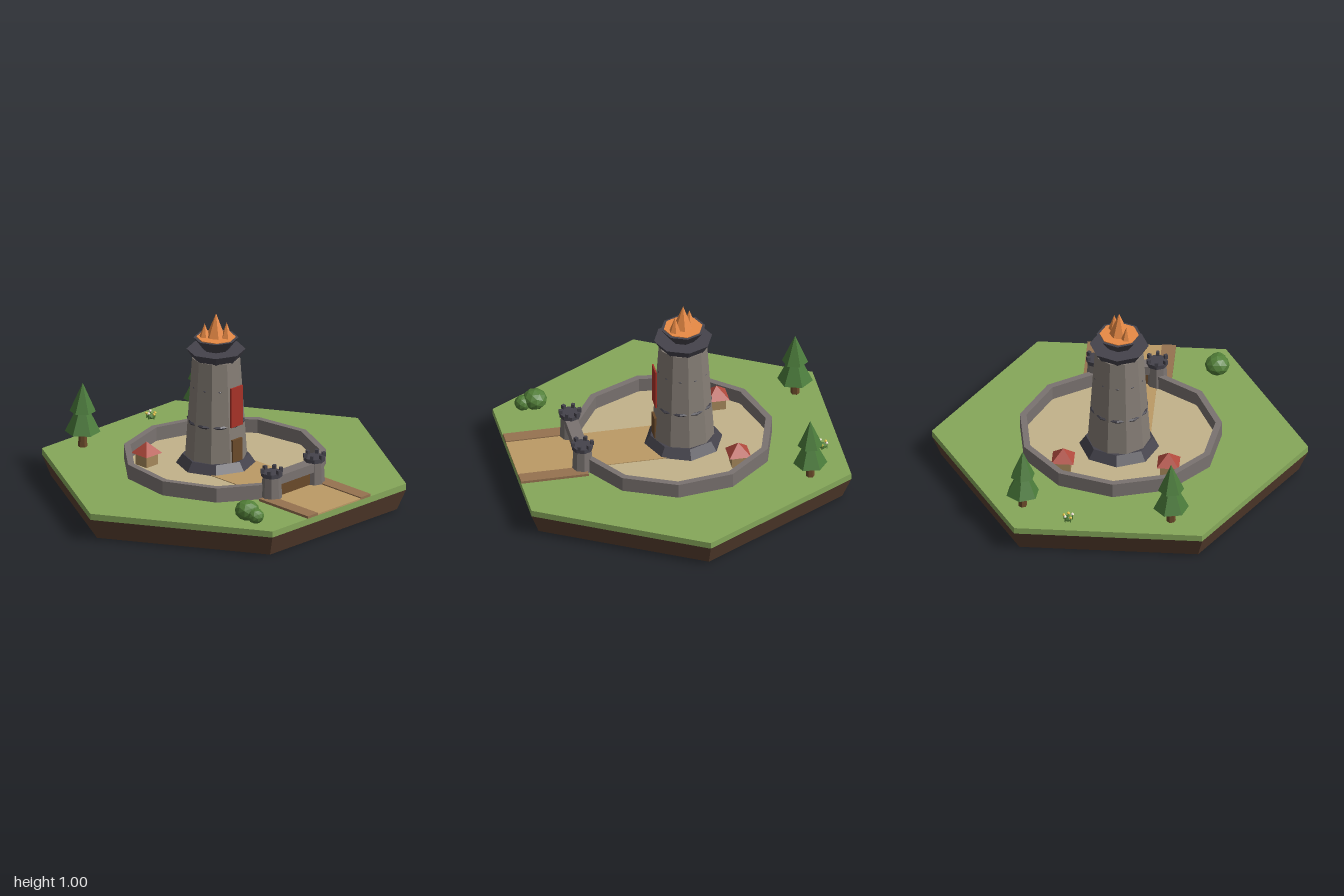
import * as THREE from 'three';

const mat = (color) => new THREE.MeshStandardMaterial({ color, flatShading: true });
const M = {
  grass: mat(0x86a85a), dirt: mat(0x5a4030), floor: mat(0xc2b28a), path: mat(0xbc9a66),
  verge: mat(0x967350), stone: mat(0x857d75), wall: mat(0x7a7370), dark: mat(0x45434c),
  roof: mat(0xb0493d), banner: mat(0xa83228), wood: mat(0x6b4a2a), plaster: mat(0xa88a5c),
  flame: mat(0xe88a45), pine: mat(0x4a7a3a), bush: mat(0x527f38), yellow: mat(0xe8c84a), white: mat(0xf0e8d8),
};
const GROUND = 0.15;

function add(parent, name, geometry, material, x = 0, y = 0, z = 0) {
  const mesh = new THREE.Mesh(geometry, material);
  mesh.name = name;
  mesh.position.set(x, y, z);
  parent.add(mesh);
  return mesh;
}

// Tapered prism standing between heights y0 and y1
function prism(parent, name, material, rBottom, rTop, y0, y1, sides, x = 0, z = 0) {
  const g = new THREE.CylinderGeometry(rTop, rBottom, y1 - y0, sides);
  return add(parent, name, g, material, x, (y0 + y1) / 2, z);
}

// Box given by its limits on each axis
function block(parent, name, material, x0, x1, y0, y1, z0, z1) {
  const g = new THREE.BoxGeometry(x1 - x0, y1 - y0, z1 - z0);
  return add(parent, name, g, material, (x0 + x1) / 2, (y0 + y1) / 2, (z0 + z1) / 2);
}

function group(parent, name, x = 0, z = 0) {
  const g = new THREE.Group();
  g.name = name;
  g.position.set(x, 0, z);
  parent.add(g);
  return g;
}

function buildIsland(root) {
  const g = group(root, 'island');
  prism(g, 'dirtBase', M.dirt, 0.95, 1, 0, 0.115, 6);
  prism(g, 'grassTop', M.grass, 1, 1, 0.115, GROUND, 6);
  prism(g, 'courtyardFloor', M.floor, 0.51, 0.51, GROUND, 0.154, 22);
  block(g, 'path', M.path, 0, 0.866, GROUND, 0.158, -0.16, 0.16);
  for (const s of [-1, 1]) {
    const verge = block(g, 'pathVerge', M.verge, 0.5, 0.866, GROUND, 0.164, -0.0375, 0.0375);
    verge.position.z = s * 0.1975;
  }
}

function buildTower(root) {
  const g = group(root, 'beaconTower', -0.06, 0);
  prism(g, 'plinth', M.dark, 0.215, 0.178, GROUND, 0.205, 8);
  prism(g, 'towerShaft', M.stone, 0.17, 0.129, GROUND, 0.755, 10);
  for (const [r, tube, y] of [[0.149, 0.009, 0.403], [0.131, 0.005, 0.6]]) {
    add(g, 'stoneBand', new THREE.TorusGeometry(r, tube, 5, 10), M.dark, 0, y, 0).rotation.x = Math.PI / 2;
  }
  prism(g, 'crown', M.dark, 0.125, 0.157, 0.75, 0.8, 8);
  prism(g, 'brazier', M.dark, 0.07, 0.12, 0.8, 0.865, 8);
  prism(g, 'embers', M.flame, 0.104, 0.104, 0.86, 0.869, 8);
  // Flames: x, z, radius, tip height
  for (const [x, z, r, top] of [[0, 0, 0.054, 1], [-0.043, 0.042, 0.03, 0.942], [0.05, -0.03, 0.032, 0.955]]) {
    add(g, 'flame', new THREE.ConeGeometry(r, top - 0.865, 6), M.flame, x, (top + 0.865) / 2, z);
  }
  block(g, 'towerDoor', M.wood, 0.13, 0.163, GROUND, 0.33, -0.036, 0.036);
  block(g, 'banner', M.banner, 0.151, 0.159, 0.402, 0.625, -0.044, 0.044);
}

// Eleven-sided curtain wall whose +x side is the gate
function buildWall(root) {
  const g = group(root, 'curtainWall');
  const sides = 11, R = 0.525, step = (2 * Math.PI) / sides;
  const length = 2 * R * Math.sin(step / 2) + 0.01;
  const apothem = R * Math.cos(step / 2);
  for (let i = 1; i < sides; i++) {
    const a = i * step;
    const wall = add(g, 'wallSegment', new THREE.BoxGeometry(0.034, 0.08, length), M.wall,
      apothem * Math.cos(a), 0.19, apothem * Math.sin(a));
    wall.rotation.y = -a;
  }
  block(g, 'gateLintel', M.wall, 0.485, 0.553, 0.23, 0.28, -0.15, 0.15);
  block(g, 'gateDoor', M.wood, 0.505, 0.533, GROUND, 0.23, -0.12, 0.12);
  for (const s of [-1, 1]) {
    const t = group(g, 'gateTower', 0.519, s * 0.16);
    prism(t, 'turretBody', M.wall, 0.056, 0.049, GROUND, 0.282, 8);
    prism(t, 'turretCap', M.dark, 0.057, 0.057, 0.279, 0.302, 8);
    for (let i = 0; i < 6; i++) {
      const a = (i * Math.PI) / 3;
      const m = add(t, 'merlon', new THREE.BoxGeometry(0.018, 0.024, 0.018), M.dark,
        0.051 * Math.cos(a), 0.311, 0.051 * Math.sin(a));
      m.rotation.y = -a;
    }
  }
}

function buildHouse(root, z) {
  const g = group(root, 'house', -0.3, z);
  block(g, 'houseBody', M.plaster, -0.042, 0.042, GROUND, 0.222, -0.042, 0.042);
  const roof = prism(g, 'houseRoof', M.roof, 0.083, 0, 0.219, 0.282, 4);
  roof.rotation.y = Math.PI / 4;
}

function buildTree(root, x, z, s, turn) {
  const g = group(root, 'pineTree', x, z);
  g.position.y = GROUND;
  g.scale.setScalar(s);
  g.rotation.y = turn;
  prism(g, 'trunk', M.wood, 0.025, 0.02, 0, 0.1, 6);
  prism(g, 'lowerFoliage', M.pine, 0.095, 0, 0.085, 0.28, 6);
  prism(g, 'upperFoliage', M.pine, 0.07, 0, 0.2, 0.36, 6);
}

function buildPlants(root) {
  buildTree(root, -0.735, 0.325, 1, 0.2);
  buildTree(root, -0.65, -0.47, 0.955, 0.4);
  const bushes = group(root, 'bushes', 0.645, 0.47);
  add(bushes, 'largeBush', new THREE.IcosahedronGeometry(0.066, 1), M.bush, 0, 0.203, 0).scale.y = 0.85;
  add(bushes, 'smallBush', new THREE.IcosahedronGeometry(0.046, 1), M.bush, 0.064, 0.188, 0).scale.y = 0.9;

  // Small flower clump
  const flowers = group(root, 'flowers', -0.77, -0.22);
  add(flowers, 'leafTuft', new THREE.IcosahedronGeometry(0.022, 0), M.bush, 0, 0.16, 0);
  for (let i = 0; i < 5; i++) {
    const a = i * 1.257, x = 0.024 * Math.cos(a), z = 0.024 * Math.sin(a), y = 0.178 + 0.006 * (i % 2);
    prism(flowers, 'stem', M.bush, 0.003, 0.003, GROUND, y, 5, x, z);
    add(flowers, 'blossom', new THREE.IcosahedronGeometry(0.0085, 0), i % 2 ? M.white : M.yellow, x, y, z);
  }
}

export function createModel() {
  const root = new THREE.Group();
  root.name = 'beaconTowerIsland';
  buildIsland(root);
  buildTower(root);
  buildWall(root);
  for (const s of [-1, 1]) buildHouse(root, s * 0.28);
  buildPlants(root);
  return root;
}
